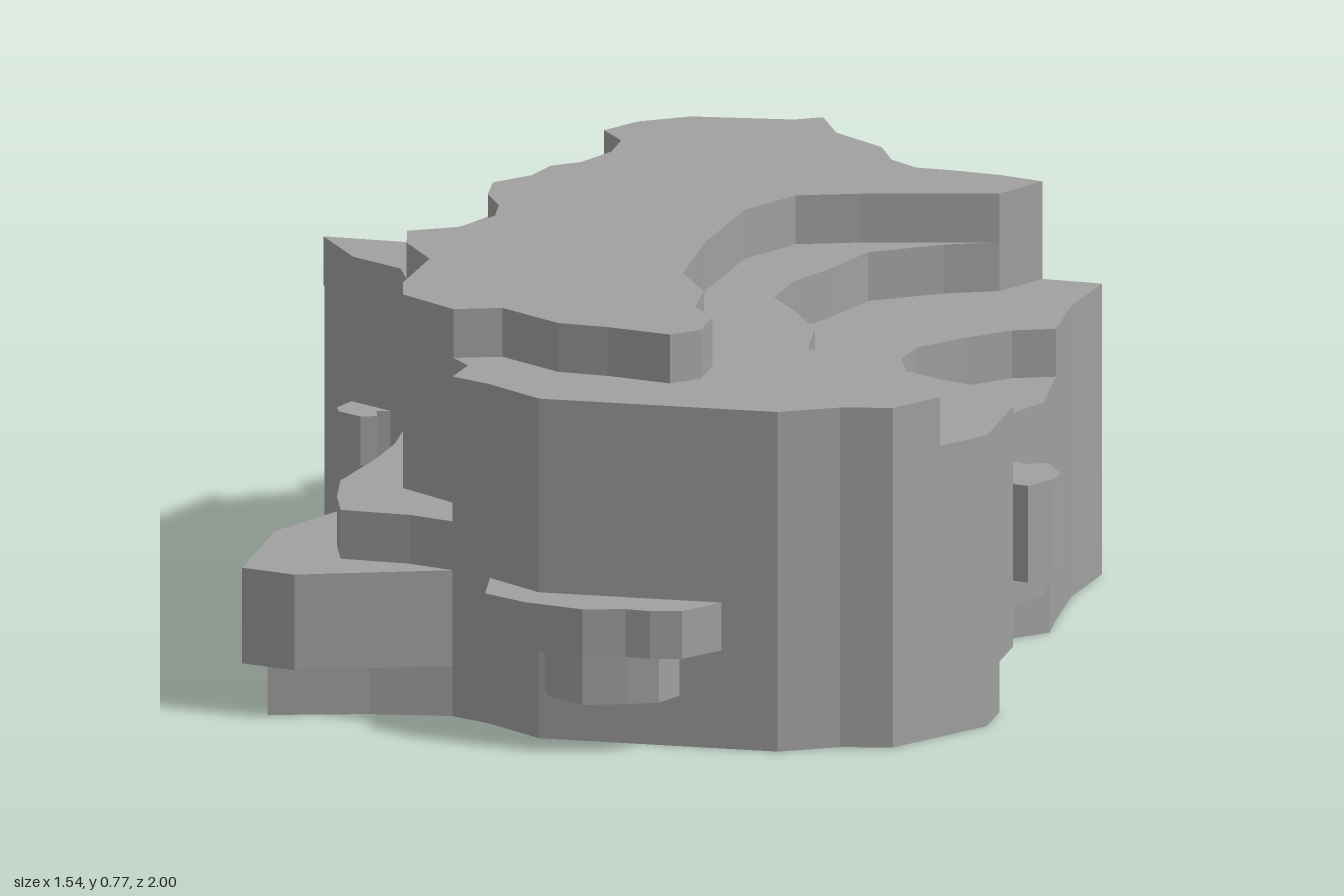
import * as THREE from 'three';

// Plan-view edge runs as [x, z] points, all going clockwise from the back.
const back = [[-0.34, -0.79], [-0.29, -0.87], [-0.2, -0.93], [-0.1, -0.94], [0, -0.95], [0.05, -0.98]];
const backRight = {
  full: [[0.17, -1], [0.28, -0.98], [0.37, -0.91], [0.42, -0.81], [0.43, -0.73], [0.48, -0.62], [0.57, -0.59]],
  upper: [[0.17, -1], [0.17, -0.93], [0.27, -0.87], [0.33, -0.77], [0.37, -0.73], [0.43, -0.73], [0.48, -0.62], [0.57, -0.59]],
  top: [[0.1, -0.87], [0.21, -0.78], [0.25, -0.69], [0.31, -0.64], [0.38, -0.635], [0.48, -0.62], [0.57, -0.59]],
};
// Undercut back edges of the three lowest layers
const undercut = [
  [[-0.64, -0.7], [-0.56, -0.5], [-0.49, -0.36], [-0.32, -0.32], [-0.13, -0.23], [0, -0.28], [0.15, -0.22], [0.3, -0.23], [0.45, -0.42], [0.57, -0.58]],
  [[-0.64, -0.7], [-0.55, -0.69], [-0.47, -0.53], [-0.36, -0.46], [-0.14, -0.42], [-0.05, -0.5], [0.06, -0.58], [0.22, -0.56], [0.38, -0.49], [0.48, -0.6], [0.57, -0.59]],
  [[-0.64, -0.7], [-0.51, -0.7], [-0.34, -0.79], [-0.29, -0.87], [-0.2, -0.92], [-0.18, -0.72], [-0.05, -0.65], [0.17, -0.74], [0.32, -0.66], [0.42, -0.56], [0.48, -0.61], [0.57, -0.59]],
];
const corner = [[0.69, -0.58], [0.67, -0.4], [0.68, -0.22]];
const cornerFront = [[0.65, 0.25], [0.73, 0.38], [0.73, 0.61], [0.66, 0.71]];
const right = {
  full: [...corner, [0.7, -0.02], [0.66, 0.07], [0.64, 0.17], ...cornerFront],
  foot: [...corner, [0.69, -0.12], [0.6, -0.03], [0.57, 0.15], [0.62, 0.33], [0.73, 0.5], [0.73, 0.61], [0.66, 0.71]],
  bay: [...corner, [0.6, -0.19], [0.52, -0.11], [0.45, -0.02], [0.44, 0.07], [0.47, 0.16], [0.55, 0.21], ...cornerFront],
  upper: [[0.51, -0.48], [0.41, -0.44], [0.28, -0.35], [0.24, -0.22], [0.19, -0.1], [0.18, 0.03], [0.24, 0.12],
    [0.31, 0.25], [0.33, 0.4], [0.39, 0.43], [0.47, 0.43], [0.53, 0.52], [0.61, 0.58], [0.66, 0.71]],
  top: [[0.51, -0.48], [0.25, -0.42], [0.13, -0.38], [0.06, -0.25], [0.04, 0], [0.05, 0.25], [0.12, 0.38],
    [0.13, 0.5], [0.18, 0.57], [0.18, 0.67], [0.13, 0.72]],
};
const front = {
  full: [[0.59, 0.81], [0.49, 0.83], [0.38, 0.89], [-0.09, 0.89], [-0.21, 0.8], [-0.29, 0.76]],
  top: [[0, 0.69], [-0.1, 0.68], [-0.23, 0.59]],
};
const left = {
  foot: [[-0.45, 0.78], [-0.64, 0.83], [-0.67, 0.62], [-0.59, 0.4], [-0.54, 0.32], [-0.53, 0.2], [-0.54, 0.05]],
  slab: [[-0.58, 0.86], [-0.69, 0.83], [-0.69, 0.54], [-0.59, 0.33], [-0.54, 0.32], [-0.53, 0.2], [-0.54, 0.05]],
  ledge: [[-0.38, 0.73], [-0.52, 0.72], [-0.55, 0.62], [-0.57, 0.5], [-0.54, 0.32], [-0.53, 0.2], [-0.54, 0.05]],
  wall: [[-0.28, 0.67], [-0.32, 0.62], [-0.44, 0.53], [-0.46, 0.44], [-0.45, 0.25], [-0.52, 0.14], [-0.54, 0.05]],
  top: [[-0.32, 0.62], [-0.44, 0.53], [-0.46, 0.44], [-0.45, 0.25], [-0.52, 0.14], [-0.54, 0.05]],
};
const lobe = {
  foot: [[-0.57, -0.1], [-0.6, -0.22], [-0.77, -0.25], [-0.77, -0.42], [-0.7, -0.53]],
  full: [[-0.57, -0.03], [-0.68, -0.1], [-0.77, -0.25], [-0.77, -0.42], [-0.7, -0.53], [-0.64, -0.7], [-0.51, -0.7]],
  upper: [[-0.57, -0.03], [-0.68, -0.1], [-0.77, -0.24], [-0.57, -0.23], [-0.53, -0.28], [-0.52, -0.39],
    [-0.49, -0.47], [-0.46, -0.57], [-0.47, -0.65], [-0.51, -0.7]],
  top: [[-0.45, 0], [-0.4, -0.1], [-0.41, -0.18], [-0.45, -0.26], [-0.46, -0.35], [-0.4, -0.42], [-0.38, -0.5],
    [-0.33, -0.54], [-0.29, -0.63], [-0.29, -0.72]],
};

export function createModel() {
  const group = new THREE.Group();
  const stone = new THREE.MeshStandardMaterial({ color: 0xa0a0a0 });
  stone.name = 'grey stone';

  // Vertical-sided slice between two heights
  function slice(name, y0, y1, ...runs) {
    const shape = new THREE.Shape(runs.flat().map(([x, z]) => new THREE.Vector2(x, -z)));
    const geometry = new THREE.ExtrudeGeometry(shape, { depth: y1 - y0, bevelEnabled: false });
    geometry.rotateX(-Math.PI / 2).translate(0, y0, 0);
    const mesh = new THREE.Mesh(geometry, stone);
    mesh.name = name;
    group.add(mesh);
  }

  // Stacked terraces from the ground up
  const h = [0, 0.1, 0.195, 0.29, 0.387, 0.483, 0.578, 0.675, 0.772];
  slice('baseLayer', h[0], h[1], undercut[0], right.foot, front.full, left.foot, lobe.foot);
  slice('lowerLayer', h[1], h[2], undercut[1], right.full, front.full, left.slab, lobe.foot);
  slice('slabLayer', h[2], h[3], undercut[2], right.full, front.full, left.slab, lobe.foot);
  slice('ledgeLayer', h[3], h[4], back, backRight.full, right.full, front.full, left.ledge, lobe.full);
  slice('middleLayer', h[4], h[5], back, backRight.full, right.full, front.full, left.wall, lobe.full);
  slice('bayLayer', h[5], h[6], back, backRight.full, right.bay, front.full, left.wall, lobe.full);
  slice('upperLayer', h[6], h[7], back, backRight.upper, right.upper, front.full, left.wall, lobe.upper);
  slice('topPlateau', h[7], h[8], back, backRight.top, right.top, front.top, left.top, lobe.top);

  // Small outcrops on the walls
  slice('frontOutcrop', h[2], h[3], [[-0.21, 0.78], [0.27, 0.86], [0.27, 0.89], [0.21, 0.97], [0.15, 0.985],
    [0.1, 0.98], [0.02, 1], [-0.1, 0.97], [-0.19, 0.92]]);
  slice('frontOutcropFoot', h[1], h[2], [[-0.09, 0.86], [0.2, 0.86], [0.16, 0.95], [0.1, 0.975], [0.02, 1], [-0.06, 0.95]]);
  slice('rightOutcrop', h[2], h[4], [[0.63, 0.1], [0.66, 0.07], [0.69, 0.085], [0.73, 0.07], [0.77, 0.14], [0.765, 0.19],
    [0.73, 0.25], [0.69, 0.24], [0.67, 0.23], [0.63, 0.26]]);
  slice('leftOutcrop', h[3], h[4], [[-0.68, -0.11], [-0.57, -0.05], [-0.62, -0.04], [-0.61, 0], [-0.64, 0.01], [-0.69, -0.02], [-0.7, -0.05]]);
  return group;
}
